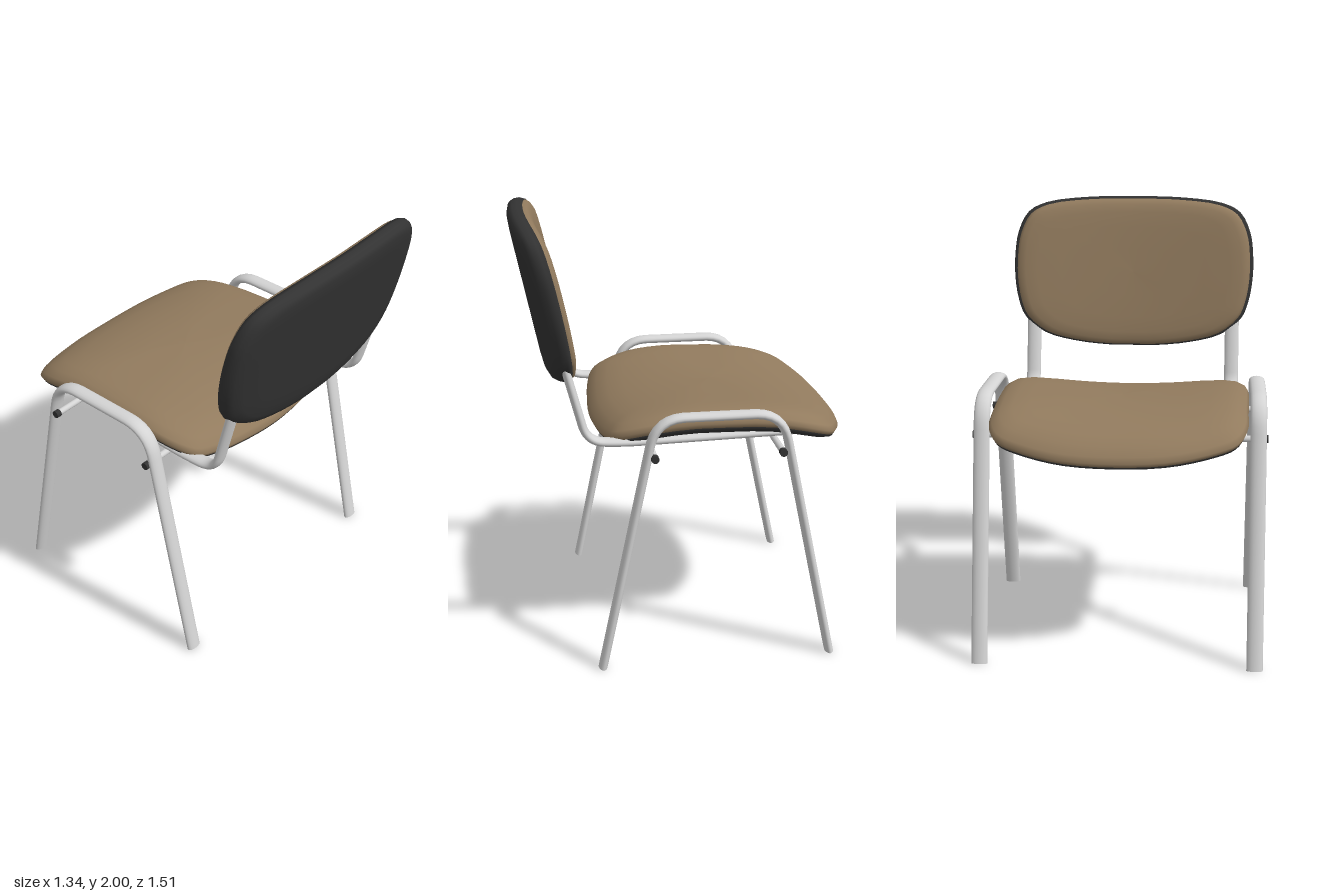
import * as THREE from 'three';

const cushionMat = new THREE.MeshStandardMaterial({ name: 'brownFabric', color: 0x927b5e });
const shellMat = new THREE.MeshStandardMaterial({ name: 'blackPlastic', color: 0x333333 });
const metalMat = new THREE.MeshStandardMaterial({ name: 'greyMetal', color: 0xd4d4d4 });

function addMesh(parent, name, geometry, material) {
  const mesh = new THREE.Mesh(geometry, material);
  mesh.name = name;
  parent.add(mesh);
  return mesh;
}

// Closed smooth outline from its +x half; first and last points lie on x = 0
function mirroredOutline(half) {
  const other = half.slice(1, -1).reverse().map(([x, b]) => [-x, b]);
  const points = [...half, ...other].map(([x, b]) => new THREE.Vector3(x, b, 0));
  return new THREE.CatmullRomCurve3(points, true).getPoints(72).slice(0, -1);
}

// Bowed pad: rings of the outline given as [scale, depth], placed by a rule
function padGeometry(outline, centre, rings, place) {
  const n = outline.length, positions = [], index = [];
  rings.forEach(([s, depth], i) => {
    outline.forEach((p, j) => {
      positions.push(...place(p.x * s, centre + (p.y - centre) * s, depth));
      if (i === rings.length - 1) return;
      const a = i * n + j, b = i * n + (j + 1) % n;
      index.push(a, b, a + n, b, b + n, a + n);
    });
  });
  const g = new THREE.BufferGeometry();
  g.setAttribute('position', new THREE.Float32BufferAttribute(positions, 3));
  g.setIndex(index);
  g.computeVertexNormals();
  return g;
}

// Path in the YZ plane through [z, y] points with rounded corners
function roundedPath(points, cut) {
  const v = points.map(([z, y]) => new THREE.Vector3(0, y, z));
  const path = new THREE.CurvePath();
  let start = v[0];
  for (let i = 1; i < v.length - 1; i++) {
    const before = v[i].clone().add(v[i - 1].clone().sub(v[i]).setLength(cut));
    const after = v[i].clone().add(v[i + 1].clone().sub(v[i]).setLength(cut));
    path.add(new THREE.LineCurve3(start, before));
    path.add(new THREE.QuadraticBezierCurve3(before, v[i], after));
    start = after;
  }
  path.add(new THREE.LineCurve3(start, v[v.length - 1]));
  return path;
}

// Oval tube, wider along x, with closed ends and nothing below the floor
function ovalTube(parent, name, path, radius, x) {
  const group = new THREE.Group();
  group.name = name;
  group.position.x = x;
  parent.add(group);
  const parts = [new THREE.TubeGeometry(path, 90, radius, 16)];
  [0, 1].forEach((t) => {
    const cap = new THREE.CircleGeometry(radius, 16);
    const out = path.getTangentAt(t).multiplyScalar(t ? 1 : -1);
    cap.applyQuaternion(new THREE.Quaternion().setFromUnitVectors(new THREE.Vector3(0, 0, 1), out));
    cap.translate(...path.getPointAt(t).toArray());
    parts.push(cap);
  });
  parts.forEach((g, i) => {
    g.scale(1.85, 1, 1);
    const p = g.attributes.position;
    for (let k = 0; k < p.count; k++) p.setY(k, Math.max(0, p.getY(k)));
    addMesh(group, i ? name + 'End' : name + 'Tube', g, metalMat);
  });
}

export function createModel() {
  const chair = new THREE.Group();
  chair.name = 'chair';

  // Seat: saddle surface falling at the front and rear, rising to the sides
  const seatOutline = mirroredOutline([
    [0, -0.76], [0.24, -0.745], [0.43, -0.69], [0.53, -0.635], [0.572, -0.54], [0.58, -0.35],
    [0.585, 0.05], [0.565, 0.23], [0.505, 0.34], [0.4, 0.372], [0.2, 0.395], [0, 0.405]]);
  const seatPlace = (x, z, depth) => {
    const front = Math.max(0, -0.25 - z), rear = Math.max(0, z + 0.1);
    const rise = 0.04 + 0.03 * THREE.MathUtils.clamp(z, -0.7, 0.4);
    return [x, 1.165 - 0.42 * front ** 2 - 0.35 * rear ** 2 + rise * (x / 0.58) ** 2 - depth, z];
  };
  addMesh(chair, 'seatCushion', padGeometry(seatOutline, -0.18, [
    [0, 0], [0.25, 0], [0.5, 0], [0.7, 0.002], [0.83, 0.008], [0.92, 0.022], [0.98, 0.046],
    [1, 0.068], [0.985, 0.088], [0.9, 0.09], [0.5, 0.09], [0, 0.09]], seatPlace), cushionMat);
  addMesh(chair, 'seatPan', padGeometry(seatOutline, -0.18, [
    [0, 0.08], [0.5, 0.08], [0.97, 0.082], [0.975, 0.1], [0.93, 0.116],
    [0.8, 0.12], [0.5, 0.12], [0.25, 0.12], [0, 0.12]], seatPlace), shellMat);

  // Backrest: leaning pad with its sides curving forward
  const backOutline = mirroredOutline([
    [0, 2], [0.25, 1.995], [0.45, 1.97], [0.54, 1.925], [0.59, 1.83], [0.606, 1.73], [0.606, 1.6],
    [0.585, 1.48], [0.55, 1.4], [0.45, 1.32], [0.3, 1.277], [0.12, 1.256], [0, 1.255]]);
  const backPlace = (x, y, depth) =>
    [x, y, 0.613 + 0.21 * (y - 1.27) - 0.05 * (x / 0.6) ** 2 - depth];
  addMesh(chair, 'backrestShell', padGeometry(backOutline, 1.63, [
    [0, 0], [0.25, 0], [0.5, 0], [0.75, 0], [0.89, 0.003], [0.96, 0.014], [0.99, 0.035],
    [1, 0.06], [0.985, 0.082], [0.9, 0.084], [0.5, 0.084], [0, 0.084]], backPlace), shellMat);
  addMesh(chair, 'backrestCushion', padGeometry(backOutline, 1.63, [
    [0, 0.07], [0.5, 0.07], [0.965, 0.07], [0.972, 0.085], [0.95, 0.1], [0.9, 0.112],
    [0.8, 0.119], [0.6, 0.122], [0.3, 0.122], [0, 0.122]], backPlace), cushionMat);

  // Side frames and bent backrest supports
  const legPath = roundedPath([[0.42, 0], [0.171, 1.186], [-0.391, 1.186], [-0.64, 0]], 0.13);
  const supportPath = roundedPath([[0.55, 1.4], [0.46, 1.055], [0.3, 1.043], [-0.46, 1.06]], 0.079);
  for (const side of [1, -1]) {
    const prefix = side > 0 ? 'left' : 'right';
    ovalTube(chair, prefix + 'LegFrame', legPath, 0.02, side * 0.625);
    ovalTube(chair, prefix + 'BackSupport', supportPath, 0.019, side * 0.505);
  }

  // Crossbars under the seat with dark end plugs
  for (const [name, z] of [['rearCrossbar', 0.18], ['frontCrossbar', -0.39]]) {
    const bar = new THREE.CylinderGeometry(0.015, 0.015, 1.3, 14).rotateZ(Math.PI / 2);
    addMesh(chair, name, bar, metalMat).position.set(0, 1.014, z);
    for (const side of [1, -1]) {
      const plug = new THREE.CylinderGeometry(0.018, 0.018, 0.025, 14).rotateZ(Math.PI / 2);
      addMesh(chair, name + 'Plug', plug, shellMat).position.set(side * 0.658, 1.014, z);
    }
  }
  return chair;
}
